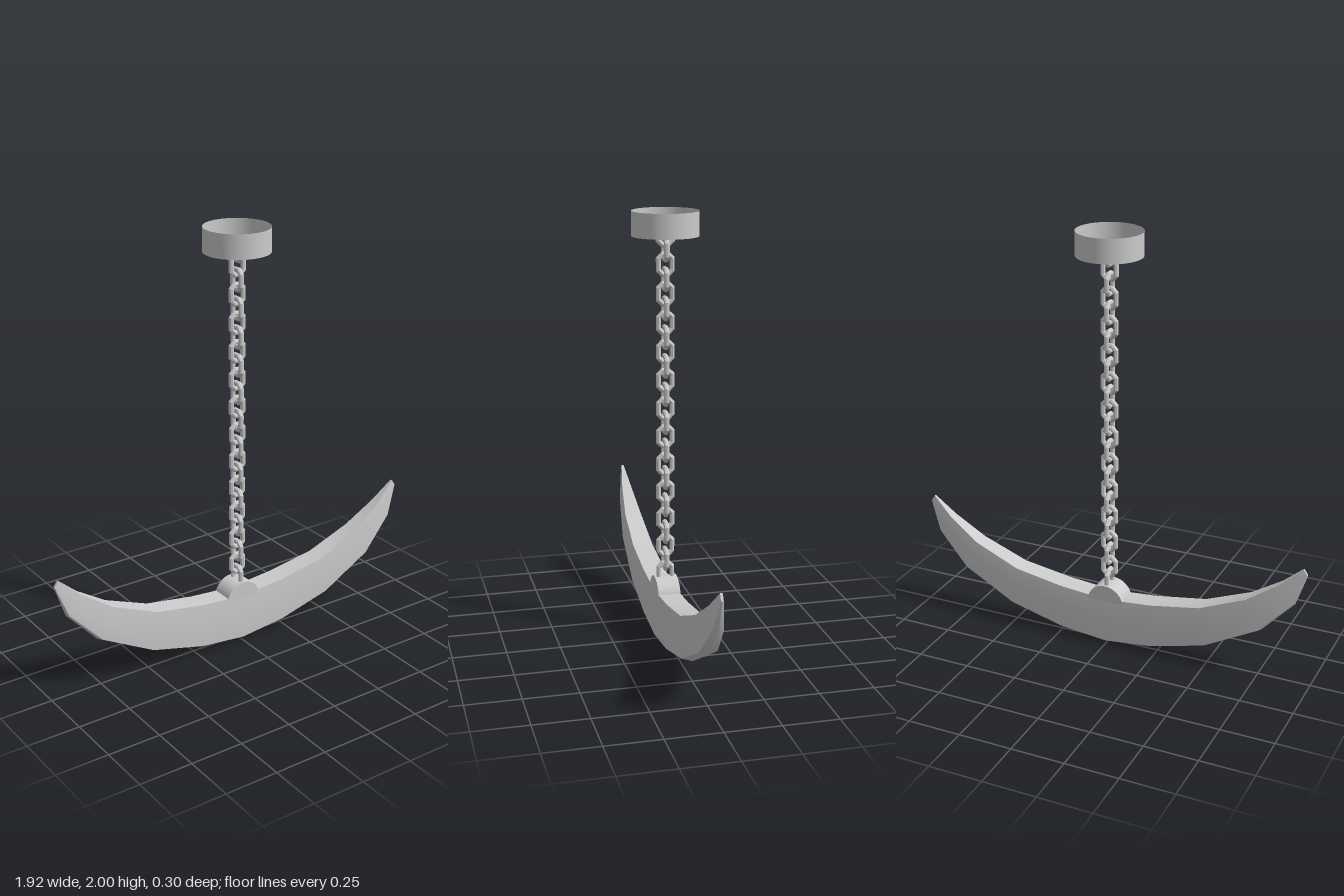
import * as THREE from 'three';
import { toCreasedNormals } from 'three/addons/utils/BufferGeometryUtils.js';

const grey = new THREE.MeshStandardMaterial({ color: 0xcccccc });
const greyFlat = new THREE.MeshStandardMaterial({ color: 0xcccccc, flatShading: true });
const greyThin = new THREE.MeshStandardMaterial({ color: 0xcccccc, side: THREE.DoubleSide });

function part(parent, name, geometry, material) {
  const mesh = new THREE.Mesh(geometry, material);
  mesh.name = name;
  parent.add(mesh);
  return mesh;
}

// Elongated eight-sided chain link standing in the xy plane
function linkGeometry() {
  const g = new THREE.TorusGeometry(0.034, 0.0125, 8, 8);
  g.rotateZ(Math.PI / 8);
  const p = g.attributes.position;
  for (let i = 0; i < p.count; i++) p.setY(i, p.getY(i) + Math.sign(p.getY(i)) * 0.013);
  return g;
}

// Crescent beam: seven-point sections with a shallow keel, lofted tip to tip
function beamGeometry() {
  // top x, top y, keel x, keel y, half width
  const half = [
    [0, 0.24, 0, 0, 0.058],
    [0.23, 0.26, 0.23, 0.025, 0.058],
    [0.47, 0.30, 0.50, 0.095, 0.055],
    [0.69, 0.39, 0.76, 0.235, 0.046],
    [0.84, 0.49, 0.91, 0.40, 0.027],
    [0.94, 0.58, 0.96, 0.55, 0.006],
  ];
  const mirrored = half.slice(1).reverse().map(([a, b, c, d, w]) => [-a, b, -c, d, w]);
  const stations = [...mirrored, ...half];
  // position from keel (0) to top (1), and share of the half width
  const ring = [[1, 0.88], [0.5, 1], [0.08, 0.9], [0, 0], [0.08, -0.9], [0.5, -1], [1, -0.88]];
  const n = ring.length;
  const positions = [];
  const index = [];
  for (const [tx, ty, kx, ky, w] of stations) {
    for (const [t, s] of ring) positions.push(kx + (tx - kx) * t, ky + (ty - ky) * t, s * w);
  }
  for (let i = 0; i < stations.length - 1; i++) {
    for (let j = 0; j < n; j++) {
      const a = i * n + j;
      const b = i * n + (j + 1) % n;
      index.push(a, b, a + n, b, b + n, a + n);
    }
  }
  const last = (stations.length - 1) * n;
  for (let j = 1; j < n - 1; j++) {
    index.push(0, j + 1, j);
    index.push(last, last + j, last + j + 1);
  }
  const g = new THREE.BufferGeometry();
  g.setAttribute('position', new THREE.Float32BufferAttribute(positions, 3));
  g.setIndex(index);
  return toCreasedNormals(g, 0.5);
}

export function createModel() {
  const model = new THREE.Group();
  model.name = 'hangingCrescentBeam';

  // Open-topped ceiling cup
  const cup = new THREE.Group();
  cup.name = 'ceilingCup';
  model.add(cup);
  part(cup, 'cupWall', new THREE.CylinderGeometry(0.15, 0.15, 0.11, 48, 1, true), greyThin).position.y = 1.945;
  const floor = part(cup, 'cupFloor', new THREE.CircleGeometry(0.15, 48), greyThin);
  floor.rotation.x = Math.PI / 2;
  floor.position.y = 1.89;

  // Chain of alternating links; the first is cut off under the cup floor
  const chain = new THREE.Group();
  chain.name = 'chain';
  model.add(chain);
  const link = linkGeometry();
  const cutLink = linkGeometry();
  const p = cutLink.attributes.position;
  for (let i = 0; i < p.count; i++) p.setY(i, Math.min(p.getY(i), -0.006));
  for (let i = 0; i < 25; i++) {
    const mesh = part(chain, 'chainLink', i === 0 ? cutLink : link, greyFlat);
    mesh.position.y = 1.895 - 0.06523 * i;
    if (i % 2 === 0) mesh.rotation.y = Math.PI / 2;
  }

  // Round hub that the chain hooks into
  const hub = new THREE.CylinderGeometry(0.09, 0.09, 0.104, 32).rotateX(Math.PI / 2);
  part(model, 'hub', hub, grey).position.y = 0.22;

  part(model, 'crescentBeam', beamGeometry(), grey);
  return model;
}
